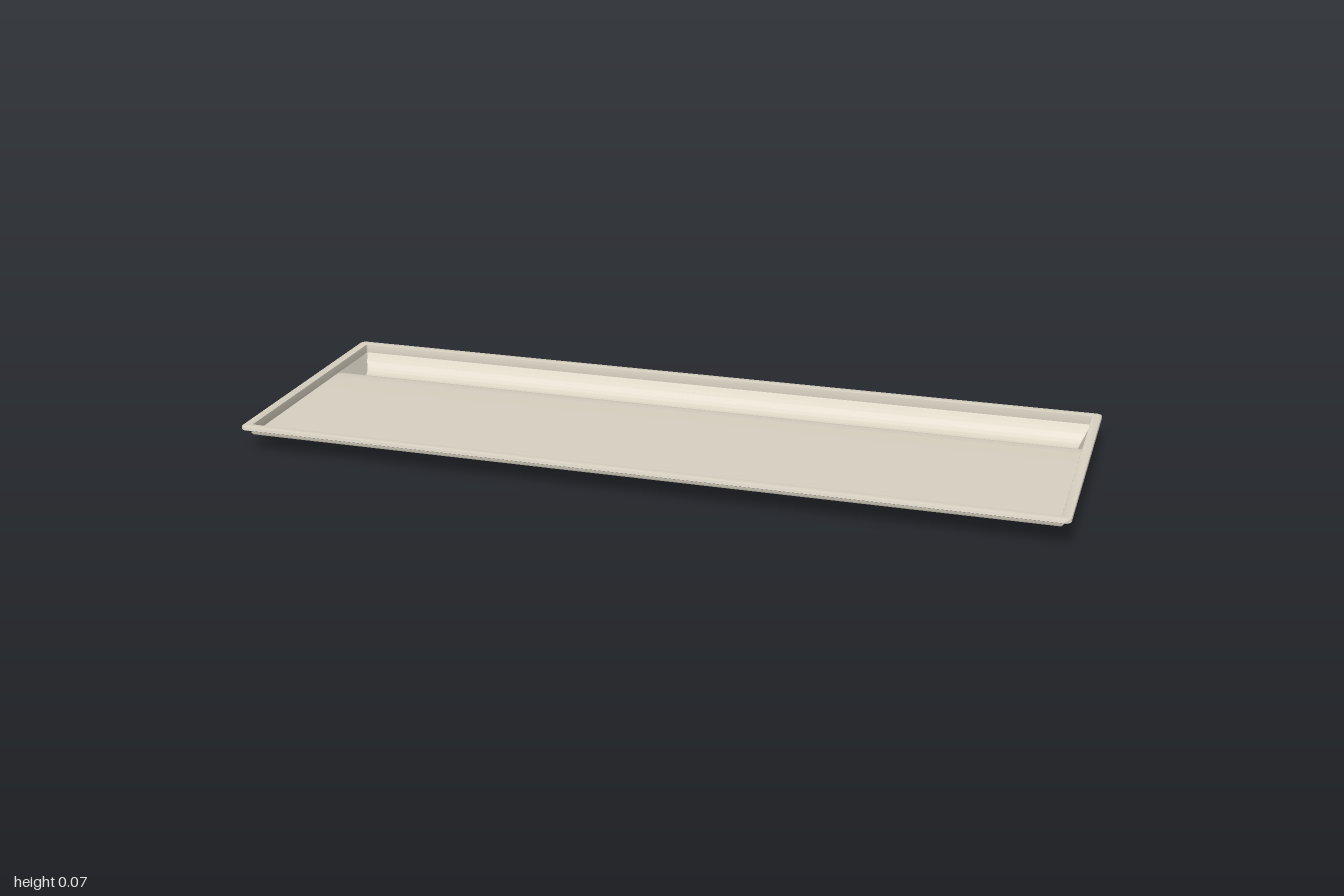
import * as THREE from 'three';
import { toCreasedNormals } from 'three/addons/utils/BufferGeometryUtils.js';

const HALF_X = 1, HALF_Z = 0.348;   // outer rim
const FLOOR = 0.043, SKIN = 0.004, EDGE = 0.024;

// Stitch rows of points into a surface with creased normals
function skin(rows, flip = false) {
  const n = rows[0].length, pos = rows.flat(2), idx = [];
  for (let i = 0; i < rows.length - 1; i++) {
    for (let j = 0; j < n - 1; j++) {
      const a = i * n + j, b = a + 1, c = a + n, d = c + 1;
      if (flip) idx.push(a, b, c, b, d, c);
      else idx.push(a, c, b, b, c, d);
    }
  }
  const g = new THREE.BufferGeometry();
  g.setAttribute('position', new THREE.Float32BufferAttribute(pos, 3));
  g.setIndex(idx);
  return toCreasedNormals(g, 0.6);
}

// Closed rounded rectangle, inset from the rim, at height y
function ring(inset, y) {
  const r = Math.max(0.014 - inset * 0.4, 0.004), pts = [], seg = 5;
  const cx = HALF_X - inset - r, cz = HALF_Z - inset - r;
  [[1, 1], [-1, 1], [-1, -1], [1, -1]].forEach(([sx, sz], q) => {
    for (let k = 0; k <= seg; k++) {
      const a = (q + k / seg) * Math.PI / 2;
      pts.push([sx * cx + r * Math.cos(a), y, sz * cz + r * Math.sin(a)]);
    }
  });
  pts.push(pts[0]);
  return pts;
}

// Floor sheet: flat at the front, dipping into a trough along the back
function floorSheet(lift, flip) {
  const zEnd = HALF_Z - EDGE, xEnd = HALF_X - EDGE;
  const curve = new THREE.CatmullRomCurve3([
    [-zEnd, 0.043], [-0.302, 0.027], [-0.283, 0.01], [-0.27, 0.002], [-0.26, 0],
    [-0.25, 0.001], [-0.235, 0.006], [-0.187, 0.028], [-0.152, 0.04], [-0.12, 0.043],
  ].map(([z, y]) => new THREE.Vector3(0, y, z)), false, 'centripetal');
  const profile = curve.getPoints(54);
  profile.push(new THREE.Vector3(0, FLOOR, 0), new THREE.Vector3(0, FLOOR, zEnd));
  const rows = profile.map(({ y, z }) => {
    const h = THREE.MathUtils.clamp(y, 0, FLOOR);
    // the trough ends slope inward as it gets deeper
    const x = xEnd - 0.001 - (FLOOR - h) * 0.5;
    return [[-xEnd, FLOOR + lift, z], [-x, h + lift, z], [x, h + lift, z], [xEnd, FLOOR + lift, z]];
  });
  return skin(rows, flip);
}

export function createModel() {
  const tray = new THREE.Group();
  tray.name = 'tray';
  const mat = new THREE.MeshStandardMaterial({ color: 0xd6d0c0 });
  mat.name = 'warm grey';
  const add = (name, geometry) => {
    const mesh = new THREE.Mesh(geometry, mat);
    mesh.name = name;
    tray.add(mesh);
  };

  // Outer wall, overhanging rim and inner wall in one section
  const section = [
    [0.024, 0.043], [0.02, 0.0445], [0.018, 0.048], [0.018, 0.06],
    [0.001, 0.06], [0, 0.061], [0, 0.067], [0.001, 0.069], [0.003, 0.07],
    [0.021, 0.07], [0.023, 0.069], [0.0235, 0.067], [0.024, 0.047],
  ];
  add('rimAndWalls', skin(section.map(([inset, y]) => ring(inset, y))));

  add('trayFloor', floorSheet(SKIN, false));
  add('trayUnderside', floorSheet(0, true));
  return tray;
}
